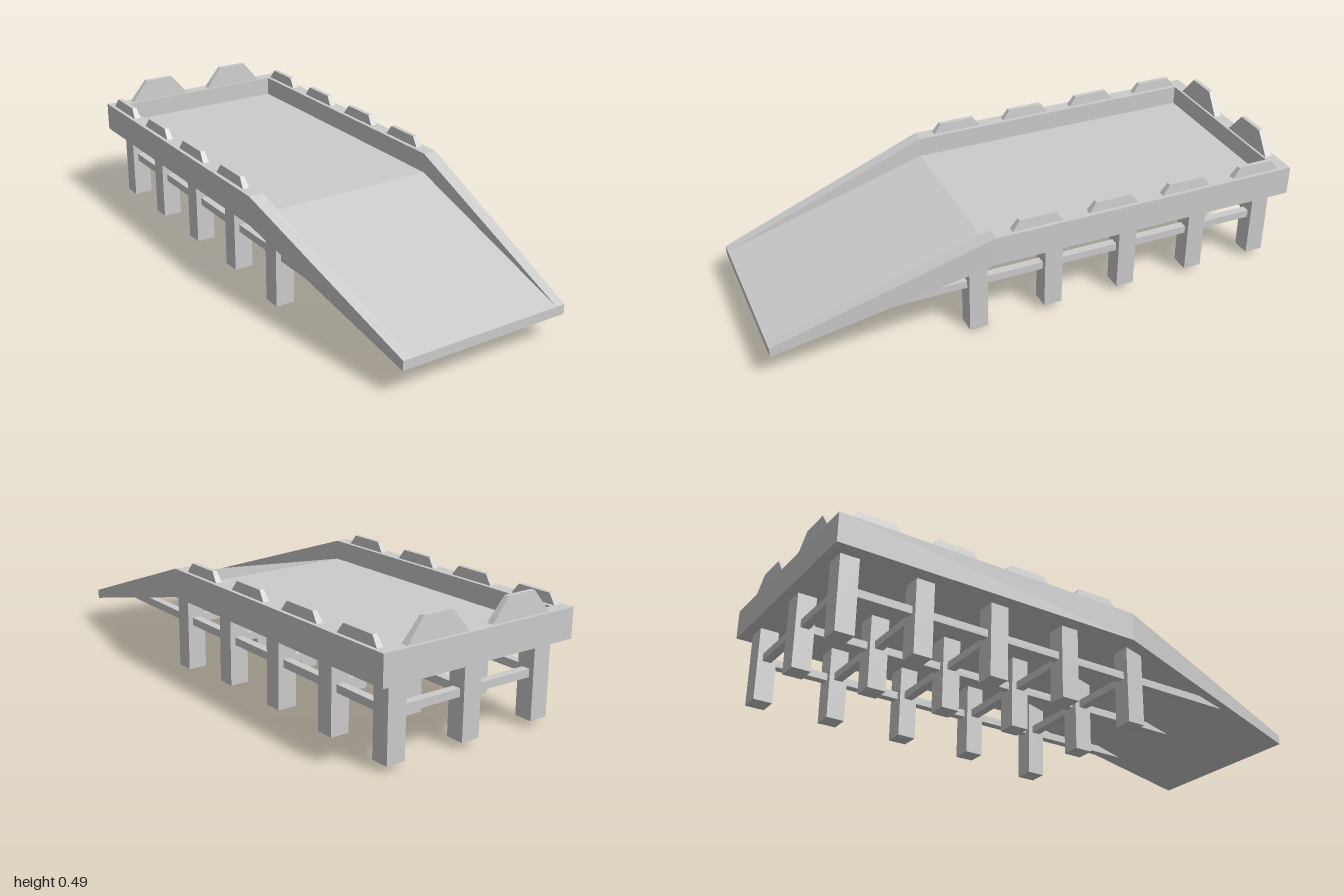
import * as THREE from 'three';

const mat = new THREE.MeshStandardMaterial({ color: 0xcccccc, flatShading: true });

function add(parent, geo, name, x = 0, y = 0, z = 0) {
  const mesh = new THREE.Mesh(geo, mat);
  mesh.name = name;
  mesh.position.set(x, y, z);
  parent.add(mesh);
  return mesh;
}

// Box given by its centre, bottom and top
function block(parent, name, x, z, w, d, y0, y1) {
  return add(parent, new THREE.BoxGeometry(w, y1 - y0, d), name, x, (y0 + y1) / 2, z);
}

// Block standing on y = 0 whose top is scaled in
function taperedBlock(w, h, d, topX, topZ) {
  const geo = new THREE.BoxGeometry(w, h, d).translate(0, h / 2, 0);
  const p = geo.attributes.position;
  for (let i = 0; i < p.count; i++) {
    if (p.getY(i) > h / 2) p.setXYZ(i, p.getX(i) * topX, h, p.getZ(i) * topZ);
  }
  geo.computeVertexNormals();
  return geo;
}

// Channel-shaped deck lofted along z, running down into a narrowing ramp
function deckGeometry(sections) {
  const pos = [];
  const rings = sections.map(({ z, outer, inner, bottom, floor, top }) => [
    [-outer, bottom, z], [outer, bottom, z], [outer, top, z], [inner, top, z],
    [inner, floor, z], [-inner, floor, z], [-inner, top, z], [-outer, top, z],
  ]);
  const quad = (a, b, c, d) => pos.push(...a, ...b, ...c, ...a, ...c, ...d);
  for (let s = 0; s < rings.length - 1; s++) {
    const r = rings[s], q = rings[s + 1];
    for (let i = 0; i < 8; i++) {
      const j = (i + 1) % 8;
      quad(r[i], r[j], q[j], q[i]);
    }
  }
  const last = rings[rings.length - 1], first = rings[0];
  for (const [a, b, c, d] of [[0, 1, 4, 5], [1, 2, 3, 4], [5, 6, 7, 0]]) {
    quad(last[a], last[b], last[c], last[d]);
    quad(first[d], first[c], first[b], first[a]);
  }
  const geo = new THREE.BufferGeometry();
  geo.setAttribute('position', new THREE.Float32BufferAttribute(pos, 3));
  geo.computeVertexNormals();
  return geo;
}

export function createModel() {
  const model = new THREE.Group();
  model.name = 'loadingRamp';

  // Deck, ramp and side walls
  add(model, deckGeometry([
    { z: -1, outer: 0.408, inner: 0.353, bottom: 0.3, floor: 0.335, top: 0.41 },
    { z: 0.2, outer: 0.408, inner: 0.353, bottom: 0.3, floor: 0.335, top: 0.41 },
    { z: 1, outer: 0.335, inner: 0.299, bottom: 0.097, floor: 0.133, top: 0.133 },
  ]), 'deckAndRamp');
  block(model, 'backWall', 0, -0.975, 0.706, 0.05, 0.335, 0.41);

  // Posts in three columns and five rows, tied by beams
  const supports = new THREE.Group();
  supports.name = 'supports';
  model.add(supports);
  const columns = [-0.315, 0, 0.315];
  const rows = [-0.925, -0.645, -0.35, -0.05, 0.245];
  for (const z of rows) {
    const foot = z > 0.2 ? 0 : 0.022;
    for (const x of columns) block(supports, 'post', x, z, 0.073, 0.07, foot, 0.302);
    block(supports, 'crossBeam', 0, z, 0.63, 0.032, 0.174, 0.203);
  }
  for (const x of columns) block(supports, 'longBeam', x, -0.118, 0.032, 1.614, 0.174, 0.203);

  // Small bumpers along the side walls
  for (const x of [-0.381, 0.381]) {
    for (let i = 0; i < 4; i++) {
      add(model, taperedBlock(0.025, 0.037, 0.194, 0.7, 0.72), 'sideBumper', x, 0.41, 0.036 - i * 0.297);
    }
  }

  // Tall bumpers on the back wall
  for (const x of [-0.178, 0.178]) {
    add(model, taperedBlock(0.254, 0.082, 0.028, 0.47, 0.6), 'backBumper', x, 0.41, -0.973);
  }
  return model;
}
